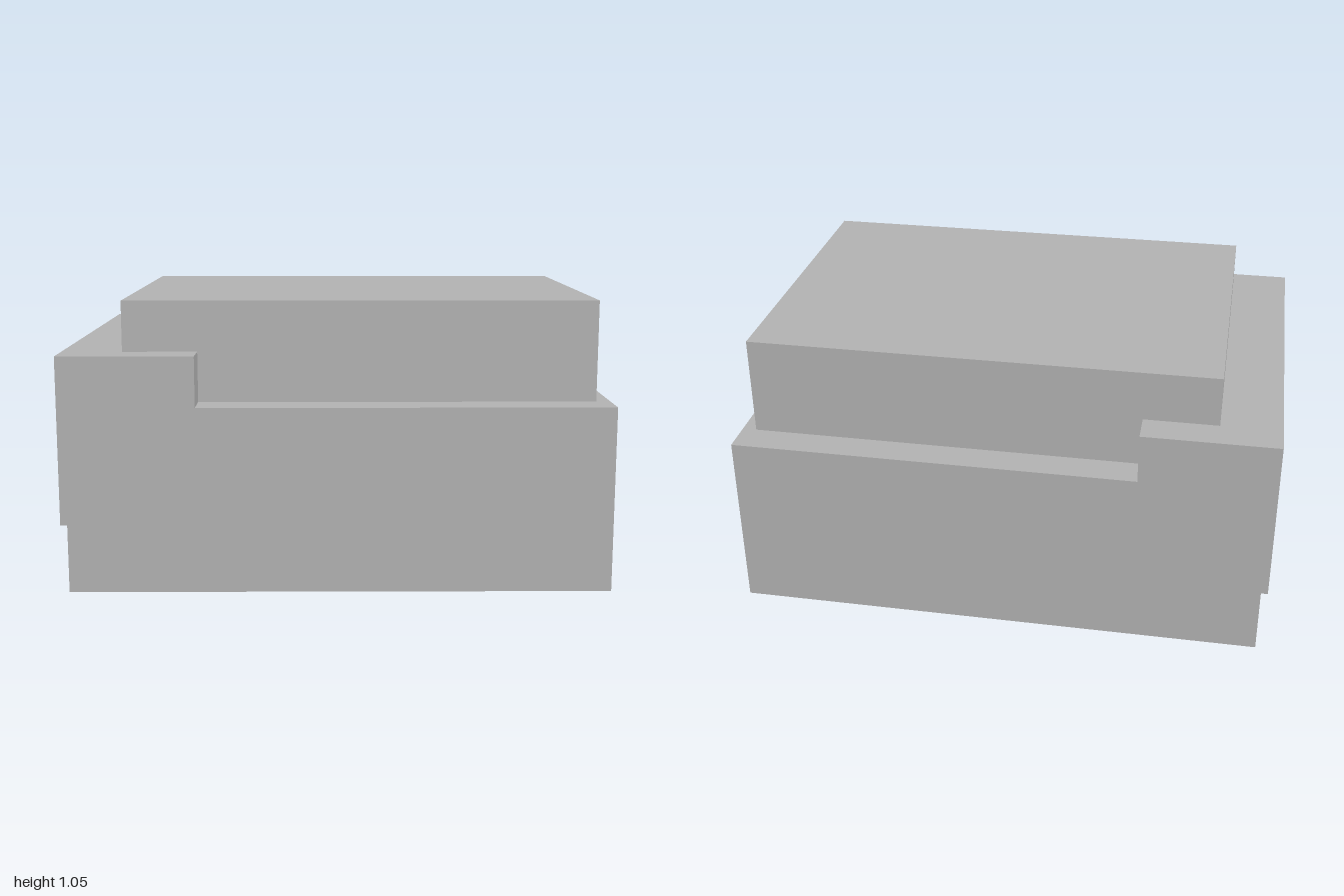
import * as THREE from 'three';

export function createModel() {
  const model = new THREE.Group();
  const grey = new THREE.MeshStandardMaterial({ color: 0xb2b2b2 });
  grey.name = 'grey';

  // Stepped body: side profile extruded across the depth
  const depth = 1.48;
  const profile = new THREE.Shape([
    [-0.975, 0], [1, 0], [1, 0.68], [-0.507, 0.68],
    [-0.507, 0.865], [-1, 0.865], [-1, 0.25], [-0.975, 0.25],
  ].map(([x, y]) => new THREE.Vector2(x, y)));
  const bodyGeometry = new THREE.ExtrudeGeometry(profile, { depth, bevelEnabled: false });
  bodyGeometry.translate(0, 0, -depth / 2);
  const body = new THREE.Mesh(bodyGeometry, grey);
  body.name = 'steppedBody';
  model.add(body);

  // Raised block resting on the lower ledge, passing through the upper step
  const bottom = 0.68, top = 1.05;
  const block = new THREE.Mesh(new THREE.BoxGeometry(1.727, top - bottom, 1.23), grey);
  block.position.set(0.084, (top + bottom) / 2, -0.002);
  block.name = 'raisedBlock';
  model.add(block);

  return model;
}
